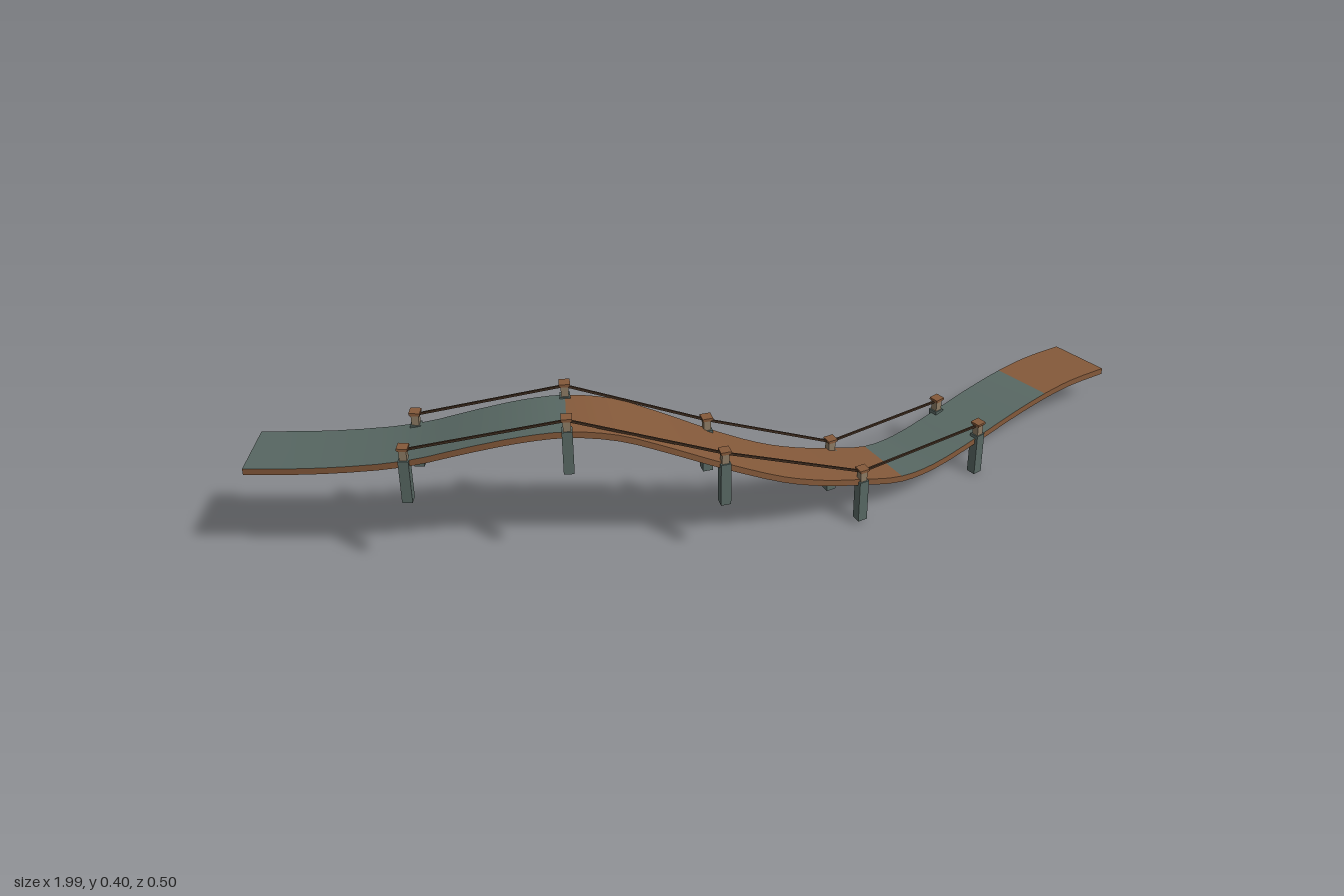
import * as THREE from 'three';

const mat = (name, color, side = THREE.FrontSide) => {
  const m = new THREE.MeshStandardMaterial({ color, side });
  m.name = name;
  return m;
};

// centreline of the walkway: x, y, z
const PATH = [
  [-0.965, 0.256, -0.19], [-0.82, 0.268, -0.11], [-0.67, 0.293, -0.03], [-0.55, 0.332, 0.03],
  [-0.46, 0.354, 0.068], [-0.375, 0.361, 0.098], [-0.28, 0.345, 0.128], [-0.18, 0.3, 0.153],
  [-0.075, 0.243, 0.171], [0.05, 0.178, 0.181], [0.14, 0.142, 0.182], [0.235, 0.112, 0.177],
  [0.335, 0.083, 0.166], [0.42, 0.079, 0.15], [0.55, 0.096, 0.118], [0.65, 0.108, 0.088],
  [0.765, 0.112, 0.05], [0.86, 0.106, 0.018], [0.975, 0.087, -0.02],
];
const STEPS = 3, HALF = 0.069, POST_OFFSET = 0.065;
// path index and top height of each pair of posts
const POSTS = [[2, 0.327], [5, 0.395], [8, 0.275], [11, 0.14], [14, 0.133]];

// ribbon between two rows of points, facing up when a is the front row
function strip(a, b) {
  const pos = [], index = [];
  a.forEach((p, i) => {
    pos.push(...p.toArray(), ...b[i].toArray());
    if (i) {
      const k = 2 * i - 2;
      index.push(k, k + 2, k + 1, k + 2, k + 3, k + 1);
    }
  });
  const g = new THREE.BufferGeometry();
  g.setAttribute('position', new THREE.Float32BufferAttribute(pos, 3));
  g.setIndex(index);
  g.computeVertexNormals();
  return g;
}

export function createModel() {
  const model = new THREE.Group();
  const wood = mat('brown wood', 0x84593a, THREE.DoubleSide);
  const slate = mat('grey green boards', 0x586863);
  const under = mat('dark underside', 0x46524f);
  const tan = mat('pale post wood', 0x8c7b64);
  const rope = mat('dark rail', 0x3f2d1f);
  const add = (parent, name, geometry, material, x = 0, y = 0, z = 0) => {
    const m = new THREE.Mesh(geometry, material);
    m.name = name;
    m.position.set(x, y, z);
    parent.add(m);
    return m;
  };

  // sample the path and its level sideways direction
  const curve = new THREE.CatmullRomCurve3(PATH.map(p => new THREE.Vector3(...p)));
  const count = (PATH.length - 1) * STEPS;
  const stations = [];
  for (let i = 0; i <= count; i++) {
    const p = curve.getPoint(i / count), t = curve.getTangent(i / count);
    stations.push({ p, side: new THREE.Vector3(-t.z, 0, t.x).normalize(), yaw: Math.atan2(-t.z, t.x) });
  }
  const row = (off, dy = 0) => stations.map(s => {
    const v = s.p.clone().addScaledVector(s.side, off);
    v.y += dy;
    return v;
  });
  const front = row(HALF), back = row(-HALF);

  // deck in coloured stretches
  [[0, 5, slate], [5, 12, wood], [12, 16, slate], [16, 18, wood]].forEach(([from, to, m]) => {
    const cut = r => r.slice(from * STEPS, to * STEPS + 1);
    add(model, 'deck', strip(cut(front), cut(back)), m);
  });
  add(model, 'deckUnderside', strip(row(-HALF, -0.0015), row(HALF, -0.0015)), under);

  // fascia board along the front edge
  add(model, 'frontFascia', strip(row(HALF, -0.015), front), wood);

  // posts and rails on both edges
  const baseGeo = new THREE.BoxGeometry(0.022, 0.102, 0.022);
  const neckGeo = new THREE.BoxGeometry(0.016, 0.026, 0.016);
  const capGeo = new THREE.BoxGeometry(0.023, 0.005, 0.023);
  const collarGeo = new THREE.BoxGeometry(0.019, 0.003, 0.019);
  for (const sign of [1, -1]) {
    const tops = POSTS.map(([k, top]) => {
      const s = stations[k * STEPS];
      const post = new THREE.Group();
      post.name = sign > 0 ? 'frontPost' : 'backPost';
      post.position.copy(s.p).addScaledVector(s.side, sign * POST_OFFSET);
      post.position.y = top;
      post.rotation.y = s.yaw;
      add(post, 'postBase', baseGeo, slate, 0, -0.082, 0);
      add(post, 'postNeck', neckGeo, tan, 0, -0.018, 0);
      add(post, 'postCollar', collarGeo, wood, 0, -0.0065, 0);
      add(post, 'postCap', capGeo, wood, 0, -0.0025, 0);
      model.add(post);
      return post.position.clone().setY(top - 0.009);
    });
    for (let i = 1; i < tops.length; i++) {
      const a = tops[i - 1], b = tops[i];
      const rail = add(model, 'rail', new THREE.BoxGeometry(0.004, 0.005, a.distanceTo(b)), rope);
      rail.position.lerpVectors(a, b, 0.5);
      rail.lookAt(b);
    }
  }
  return model;
}
